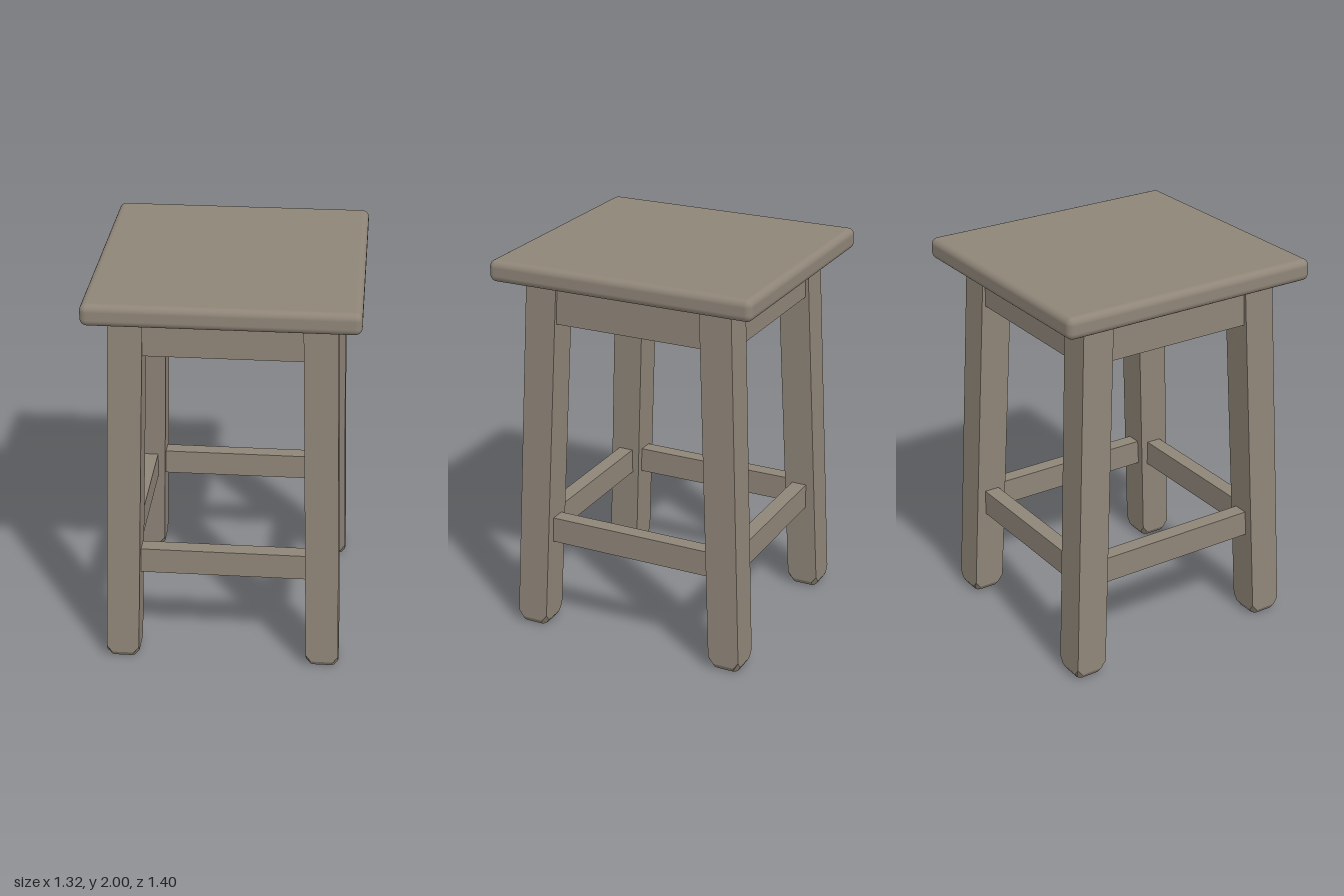
import * as THREE from 'three';
import { RoundedBoxGeometry } from 'three/addons/geometries/RoundedBoxGeometry.js';

const SEAT_BOTTOM = 1.89, HALF = 0.083;
const FOOT = { x: 0.515, z: 0.555 }, TOP = { x: 0.465, z: 0.468 };

// centre of a leg at height y, along one axis
const legAt = (axis, y) => THREE.MathUtils.lerp(FOOT[axis], TOP[axis], y / SEAT_BOTTOM);

// splayed square leg with chamfered foot, built from three 12-point rings
function legGeometry(sx, sz) {
  const h = HALF, e = 0.057;
  const ring = [];
  for (let k = 0; k < 4; k++) {
    const c = Math.round(Math.cos(k * Math.PI / 2)), s = Math.round(Math.sin(k * Math.PI / 2));
    for (const [x, z, corner] of [[h, -e, 0], [h, e, 0], [h, h, 1]]) {
      ring.push([x * c - z * s, x * s + z * c, corner]);
    }
  }
  const layers = [
    { y: () => 0.004, scale: 0.8 },
    { y: (corner) => (corner ? 0.065 : 0.03), scale: 1 },
    { y: () => SEAT_BOTTOM + 0.02, scale: 1 },
  ];
  const pos = [], index = [], n = ring.length;
  for (const { y, scale } of layers) {
    for (const [x, z, corner] of ring) {
      const h1 = y(corner), k = scale < 1 && corner ? 0.72 : scale;
      pos.push(sx * legAt('x', h1) + x * k, h1, sz * legAt('z', h1) + z * k);
    }
  }
  for (let l = 0; l < 2; l++) {
    for (let i = 0; i < n; i++) {
      const a = l * n + i, b = l * n + (i + 1) % n;
      index.push(a, a + n, b, b, a + n, b + n);
    }
  }
  // sole
  pos.push(sx * FOOT.x, 0, sz * FOOT.z);
  for (let i = 0; i < n; i++) index.push(3 * n, i, (i + 1) % n);
  const g = new THREE.BufferGeometry();
  g.setAttribute('position', new THREE.Float32BufferAttribute(pos, 3));
  g.setIndex(index);
  const flat = g.toNonIndexed();
  flat.computeVertexNormals();
  return flat;
}

export function createModel() {
  const group = new THREE.Group();
  const wood = new THREE.MeshStandardMaterial({ color: 0x8f8578 });
  wood.name = 'greyBrownWood';

  const add = (name, geometry, x = 0, y = 0, z = 0) => {
    const mesh = new THREE.Mesh(geometry, wood);
    mesh.name = name;
    mesh.position.set(x, y, z);
    group.add(mesh);
  };

  // seat board with softened edges
  add('seat', new RoundedBoxGeometry(1.32, 0.11, 1.4, 4, 0.035), 0, 1.945, 0);

  // four legs
  for (const sx of [-1, 1]) {
    for (const sz of [-1, 1]) {
      add((sz > 0 ? 'front' : 'back') + (sx > 0 ? 'Left' : 'Right') + 'Leg', legGeometry(sx, sz));
    }
  }

  // rails between the legs: apron under the seat and stretchers low down
  const rails = [
    { name: 'Apron', low: 1.68, high: 1.89, thick: 0.08, outset: 0.033 },
    { name: 'Stretcher', low: 0.48, high: 0.615, thick: 0.08, outset: 0 },
  ];
  for (const { name, low, high, thick, outset } of rails) {
    const y = (low + high) / 2, height = high - low;
    const x = legAt('x', y), z = legAt('z', y);
    const lenX = 2 * (x - HALF) + 0.04, lenZ = 2 * (z - HALF) + 0.04;
    for (const s of [-1, 1]) {
      add((s > 0 ? 'front' : 'back') + name, new THREE.BoxGeometry(lenX, height, thick), 0, y, s * (z + outset - 0.005));
      add((s > 0 ? 'left' : 'right') + name, new THREE.BoxGeometry(thick, height, lenZ), s * (x + outset - 0.005), y, 0);
    }
  }
  return group;
}
